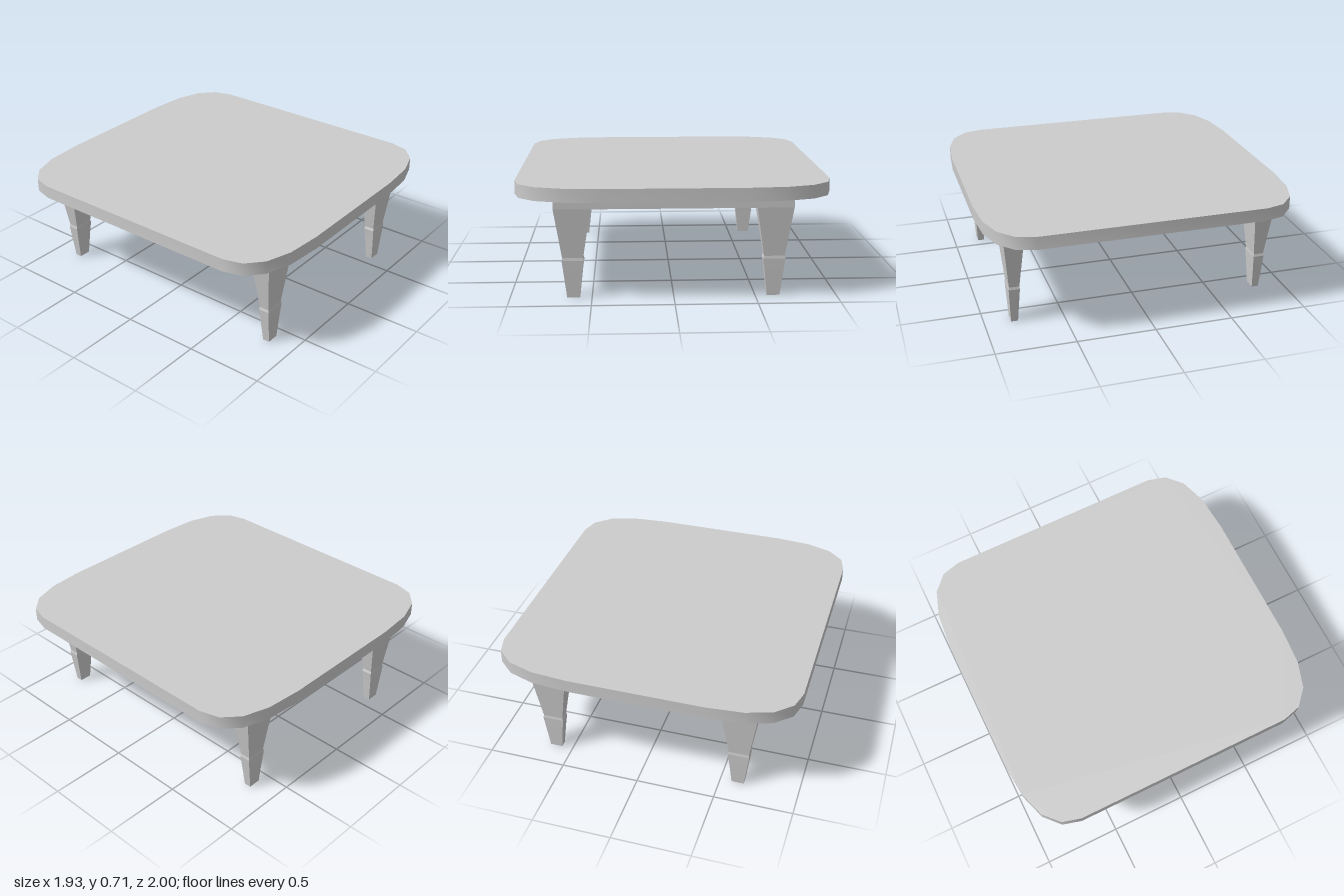
import * as THREE from 'three';
import { toCreasedNormals } from 'three/addons/utils/BufferGeometryUtils.js';

const material = new THREE.MeshStandardMaterial({ color: 0xcccccc });

// Leg sections, top to bottom: y, inner x, outer x, inner z, outer z
const LEG = [
  [0.56, 0.502, 0.725, 0.75, 0.872],
  [0.252, 0.55, 0.677, 0.778, 0.843],
  [0.235, 0.545, 0.681, 0.776, 0.846],
  [0.17, 0.554, 0.673, 0.78, 0.843],
  [0, 0.573, 0.652, 0.79, 0.834],
];

// A box whose rows of vertices are moved to the leg sections
function legGeometry(sx, sz) {
  const rows = LEG.length - 1;
  const geometry = new THREE.BoxGeometry(1, 1, 1, 1, rows, 1);
  const p = geometry.attributes.position;
  for (let i = 0; i < p.count; i++) {
    const [y, xIn, xOut, zIn, zOut] = LEG[Math.round((0.5 - p.getY(i)) * rows)];
    const x = p.getX(i) * sx > 0 ? xOut : xIn;
    const z = p.getZ(i) * sz > 0 ? zOut : zIn;
    p.setXYZ(i, sx * x, y, sz * z);
  }
  const flat = geometry.toNonIndexed();
  flat.computeVertexNormals();
  return flat;
}

// Rounded slab: one corner curve mirrored into four quarters
function topGeometry() {
  const corner = [[0.963, 0.715], [0.93, 0.835], [0.83, 0.927], [0.665, 0.981], [0.43, 1]];
  const mirrored = (sx, sz) => corner.map(([x, z]) => new THREE.Vector2(x * sx, z * sz));
  const outline = [
    ...mirrored(1, 1), ...mirrored(-1, 1).reverse(),
    ...mirrored(-1, -1), ...mirrored(1, -1).reverse(),
  ];
  const slab = new THREE.ExtrudeGeometry(new THREE.Shape(outline), { depth: 0.083, bevelEnabled: false });
  slab.rotateX(-Math.PI / 2).translate(0, 0.625, 0);
  return toCreasedNormals(slab, 0.7);
}

export function createModel() {
  const table = new THREE.Group();
  table.name = 'table';
  const add = (name, geometry) => {
    const mesh = new THREE.Mesh(geometry, material);
    mesh.name = name;
    table.add(mesh);
    return mesh;
  };

  add('tableTop', topGeometry());

  // Solid apron under the top
  add('apron', new THREE.BoxGeometry(1.45, 0.066, 1.744)).position.y = 0.592;

  // Four tapered legs
  for (const [side, sx] of [['Left', 1], ['Right', -1]]) {
    for (const [end, sz] of [['front', 1], ['back', -1]]) {
      add(`${end}${side}Leg`, legGeometry(sx, sz));
    }
  }
  return table;
}
